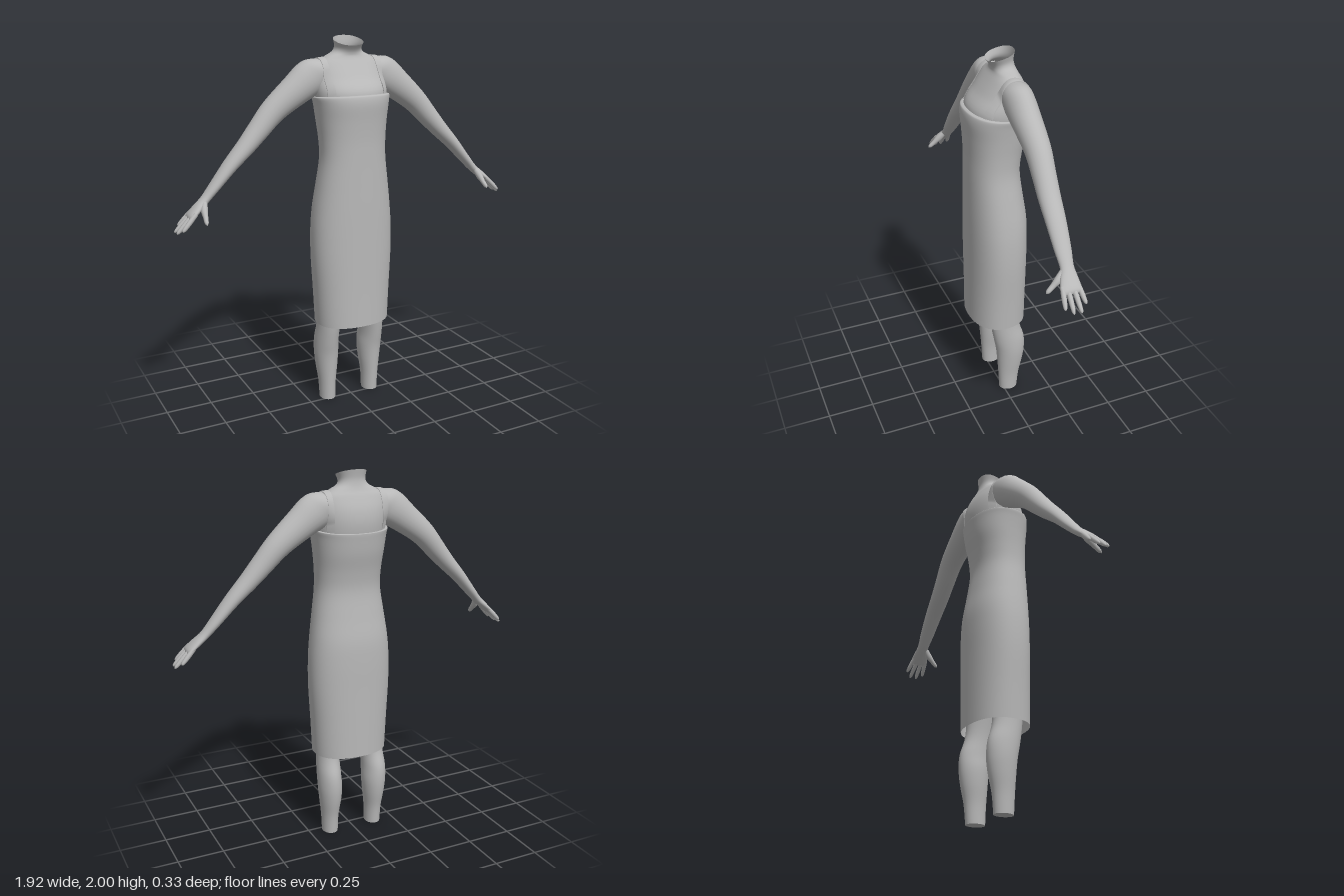
import * as THREE from 'three';

const grey = new THREE.MeshStandardMaterial({ color: 0xb8b8b8, side: THREE.DoubleSide });
grey.name = 'plain grey';

const X = [1, 0, 0], Z = [0, 0, 1], BACK = [0, 0, -1];

// Smooth interpolation of one number through four keys
function spline(a, b, c, d, t) {
  return b + 0.5 * t * (c - a + t * (2 * a - 5 * b + 4 * c - d + t * (3 * (b - c) + d - a)));
}

// Skin over cross-sections [x, y, z, half-size along u, half-size along v, tilt in y].
// power shapes the outline (2 = ellipse); mirror = -1 builds the opposite side.
function loft(name, keys, u, v, { power = 2, sides = 32, steps = 5, mirror = 1 } = {}) {
  const rings = [];
  const at = (i) => keys[Math.min(Math.max(i, 0), keys.length - 1)];
  for (let i = 0; i < keys.length - 1; i++) {
    for (let s = 0; s < steps; s++) {
      rings.push([0, 1, 2, 3, 4, 5].map((k) =>
        spline(at(i - 1)[k] || 0, at(i)[k] || 0, at(i + 1)[k] || 0, at(i + 2)[k] || 0, s / steps)));
    }
  }
  rings.push([...at(keys.length - 1), 0].slice(0, 6));

  const pos = [], index = [];
  rings.forEach(([x, y, z, a, b, tilt], i) => {
    for (let j = 0; j < sides; j++) {
      const angle = (j / sides) * Math.PI * 2;
      const c = Math.cos(angle), s = Math.sin(angle);
      const p = a * Math.sign(c) * Math.abs(c) ** (2 / power);
      const q = b * Math.sign(s) * Math.abs(s) ** (2 / power);
      pos.push((x + u[0] * p + v[0] * q) * mirror, y + u[1] * p + v[1] * q + tilt * s, z + u[2] * p + v[2] * q);
      if (i === rings.length - 1) continue;
      const k = (j + 1) % sides;
      const A = i * sides + j, B = i * sides + k, C = A + sides, D = B + sides;
      if (mirror > 0) index.push(A, B, C, B, D, C);
      else index.push(A, C, B, B, C, D);
    }
  });
  const geo = new THREE.BufferGeometry();
  geo.setAttribute('position', new THREE.Float32BufferAttribute(pos, 3));
  geo.setIndex(index);
  geo.computeVertexNormals();
  const mesh = new THREE.Mesh(geo, grey);
  mesh.name = name;
  return mesh;
}

// Upright section from height, half-width, front z and back z
const level = ([y, w, front, back, tilt = 0, x = 0]) => [x, y, (front + back) / 2, w, (front - back) / 2, tilt];

// Thin shoulder strap laid over the body from chest to back
function strap(side, bodyMeshes) {
  const ray = new THREE.Raycaster();
  const n = 36, rows = [], pos = [], index = [];
  for (let i = 0; i <= n; i++) {
    const a = THREE.MathUtils.degToRad(6 + (i / n) * 172);
    const out = new THREE.Vector3(0, Math.sin(a), Math.cos(a));
    const surface = (x) => {
      const origin = new THREE.Vector3(x * side, 1.7, -0.025);
      ray.set(origin.clone().addScaledVector(out, 1), out.clone().negate());
      const hit = ray.intersectObjects(bodyMeshes)[0];
      return hit ? hit.point : origin.addScaledVector(out, 0.12);
    };
    const inner = surface(0.135), outer = surface(0.167);
    rows.push([inner, inner.clone().addScaledVector(out, 0.006), outer.clone().addScaledVector(out, 0.006), outer]);
  }
  rows.forEach((row, i) => {
    row.forEach((p) => pos.push(p.x, p.y, p.z));
    if (i === n) return;
    for (let j = 0; j < 3; j++) {
      const a = i * 4 + j, b = a + 1, c = a + 4, d = a + 5;
      if (side > 0) index.push(a, b, c, b, d, c);
      else index.push(a, c, b, b, c, d);
    }
  });
  const geo = new THREE.BufferGeometry();
  geo.setAttribute('position', new THREE.Float32BufferAttribute(pos, 3));
  geo.setIndex(index);
  geo.computeVertexNormals();
  const mesh = new THREE.Mesh(geo, grey);
  mesh.name = side > 0 ? 'leftStrap' : 'rightStrap';
  return mesh;
}

function arm(side) {
  const group = new THREE.Group();
  const label = side > 0 ? 'left' : 'right';
  group.name = label + 'ArmAndHand';
  const across = [-0.75, -0.66, 0];

  // Arm from inside the shoulder to the wrist, then the flat palm
  group.add(loft(label + 'Arm', [
    [0.09, 1.86, -0.045, 0.04, 0.04], [0.15, 1.835, -0.045, 0.07, 0.085],
    [0.2, 1.8, -0.045, 0.075, 0.1], [0.28, 1.745, -0.046, 0.073, 0.085],
    [0.41, 1.645, -0.05, 0.064, 0.066], [0.5, 1.55, -0.045, 0.058, 0.055],
    [0.57, 1.475, -0.04, 0.055, 0.046], [0.655, 1.39, -0.036, 0.05, 0.036],
    [0.74, 1.295, -0.032, 0.042, 0.027], [0.795, 1.235, -0.028, 0.034, 0.022],
    [0.835, 1.2, -0.02, 0.044, 0.02], [0.875, 1.165, -0.014, 0.053, 0.016],
    [0.888, 1.15, -0.014, 0.045, 0.008], [0.89, 1.148, -0.014, 0.001, 0.001],
  ], Z, across, { mirror: side, sides: 24 }));

  // Four fingers: z at base and tip, then the tip's x and y
  [[0.024, 0.04, 0.935, 1.1], [0, 0.006, 0.955, 1.083], [-0.027, -0.032, 0.957, 1.082], [-0.053, -0.066, 0.93, 1.105]]
    .forEach(([z0, z1, x, y], i) => {
      const p = (t, r) => [0.86 + (x - 0.86) * t, 1.178 + (y - 1.178) * t, z0 + (z1 - z0) * t, r, r];
      group.add(loft(label + 'Finger' + (i + 1), [p(0, 0.012), p(0.5, 0.0125), p(0.9, 0.009), p(1, 0.001)],
        Z, across, { mirror: side, sides: 10, steps: 3 }));
    });

  // Thumb
  group.add(loft(label + 'Thumb', [
    [0.8, 1.235, -0.015, 0.012, 0.012], [0.815, 1.195, 0.018, 0.018, 0.02],
    [0.82, 1.165, 0.05, 0.013, 0.014], [0.824, 1.142, 0.076, 0.01, 0.011], [0.825, 1.133, 0.087, 0.001, 0.001],
  ], X, [0, -0.7, -0.7], { mirror: -side, sides: 12, steps: 4 }));
  const thumb = group.children[group.children.length - 1];
  thumb.geometry.scale(-1, 1, 1);
  return group;
}

export function createModel() {
  const model = new THREE.Group();
  model.name = 'dressedFigure';

  // Upper chest, shoulders and open neck
  const torso = loft('chestAndNeck', [
    [1.6, 0.175, 0.13, -0.14], [1.72, 0.193, 0.14, -0.157], [1.8, 0.188, 0.085, -0.15],
    [1.865, 0.17, 0.04, -0.125], [1.897, 0.13, 0.02, -0.108], [1.92, 0.085, 0.018, -0.098, 0.005],
    [1.945, 0.071, 0.025, -0.094, 0.012], [1.978, 0.078, 0.042, -0.1, 0.022],
  ].map(level), X, BACK, { power: 2.2, sides: 48 });
  model.add(torso);

  // Floor closing the inside of the neck
  const inner = new THREE.Mesh(new THREE.CircleGeometry(0.12, 32).rotateX(-Math.PI / 2), grey);
  inner.name = 'innerClosure';
  inner.position.set(0, 1.66, -0.01);
  model.add(inner);

  // Fitted sheath dress, open at the hem, with a turned-in neckline
  model.add(loft('dress', [
    [0.47, 0.205, 0.157, -0.153], [0.65, 0.214, 0.155, -0.154], [0.85, 0.225, 0.154, -0.155],
    [1.0, 0.224, 0.154, -0.156], [1.12, 0.214, 0.154, -0.152], [1.25, 0.196, 0.153, -0.133],
    [1.38, 0.178, 0.152, -0.118], [1.48, 0.178, 0.152, -0.128], [1.58, 0.187, 0.157, -0.15],
    [1.66, 0.197, 0.164, -0.161, -0.004], [1.695, 0.203, 0.16, -0.164, -0.012],
    [1.703, 0.2, 0.15, -0.162, -0.014], [1.703, 0.185, 0.13, -0.148, -0.014],
  ].map(level), X, BACK, { power: 2.3, sides: 56 }));

  for (const side of [1, -1]) {
    const limb = arm(side);
    model.add(limb, strap(side, [torso, limb.children[0]]));

    // Leg cut off flat at the ankle, running up inside the dress
    model.add(loft(side > 0 ? 'leftLeg' : 'rightLeg', [
      [0, 0.043, 0.02, -0.085, 0, 0.133], [0.1, 0.047, 0.025, -0.095, 0, 0.134],
      [0.2, 0.059, 0.032, -0.116, 0, 0.134], [0.28, 0.065, 0.04, -0.125, 0, 0.135],
      [0.36, 0.063, 0.055, -0.12, 0, 0.137], [0.47, 0.062, 0.073, -0.09, 0, 0.132],
      [0.65, 0.075, 0.09, -0.09, 0, 0.118], [0.9, 0.09, 0.1, -0.11, 0, 0.105],
    ].map(level), X, BACK, { mirror: side }));
    const sole = new THREE.Mesh(new THREE.CircleGeometry(1, 32).rotateX(Math.PI / 2), grey);
    sole.name = side > 0 ? 'leftAnkleEnd' : 'rightAnkleEnd';
    sole.scale.set(0.043, 1, 0.0525);
    sole.position.set(0.133 * side, 0, -0.0325);
    model.add(sole);
  }
  return model;
}
